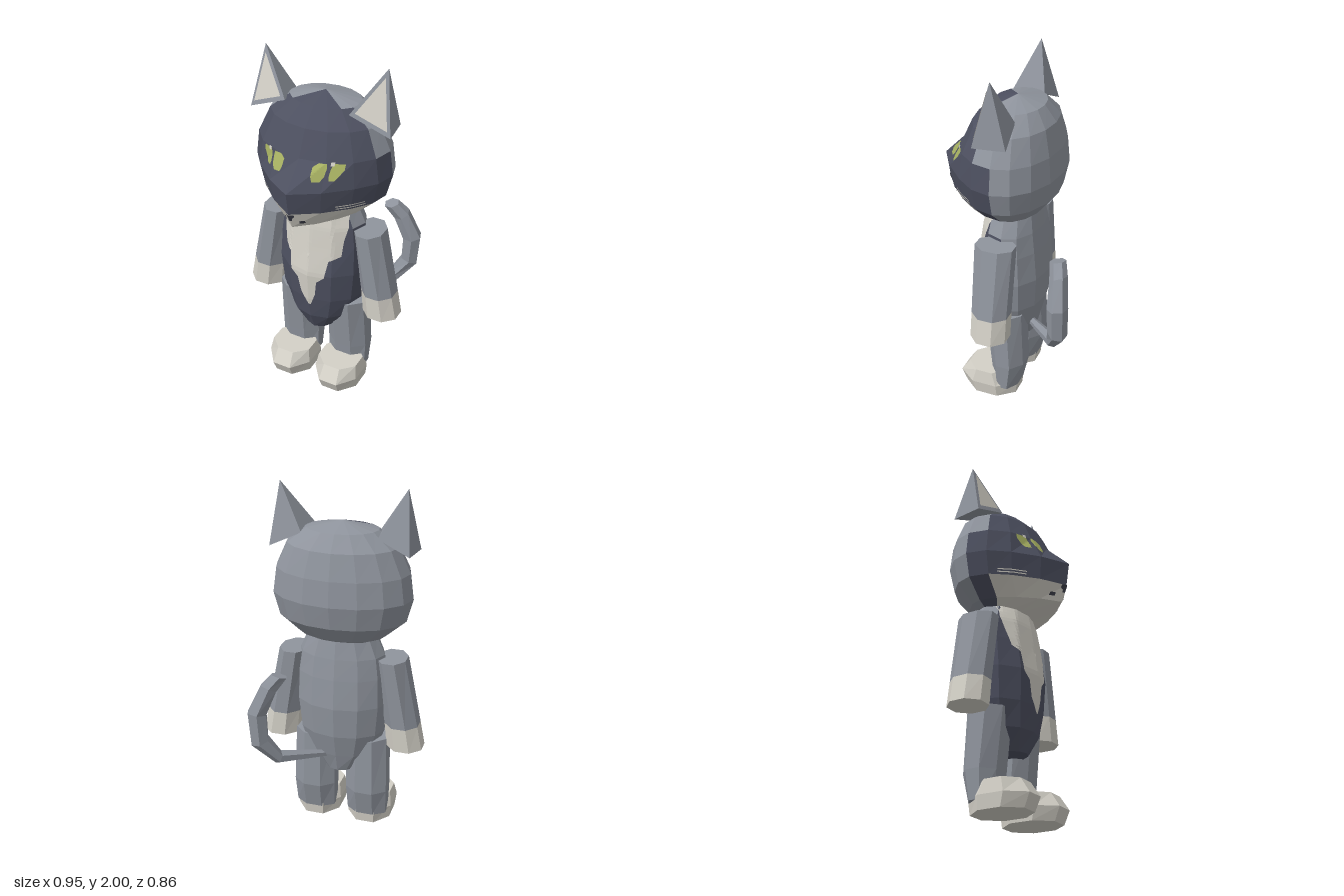
import * as THREE from 'three';

const flat = (name, color, extra = {}) => {
  const m = new THREE.MeshStandardMaterial({ color, flatShading: true, ...extra });
  m.name = name;
  return m;
};
const V = (x, y, z) => new THREE.Vector3(x, y, z);

// Skin a stack of rings, closed by fans at both ends; pick(row, column) chooses a material index.
function loft(rings, pick = () => 0, topPoint, bottomPoint) {
  const n = rings[0].length, last = rings.length - 1, buckets = [];
  const centre = r => r.reduce((s, p) => s.add(p), V(0, 0, 0)).divideScalar(n);
  const add = (i, j, ...pts) => {
    const b = (buckets[pick(i, j)] ??= []);
    pts.forEach(p => b.push(p.x, p.y, p.z));
  };
  const top = topPoint ?? centre(rings[last]), bottom = bottomPoint ?? centre(rings[0]);
  for (let j = 0; j < n; j++) {
    const k = (j + 1) % n;
    for (let i = 0; i < last; i++) {
      const a = rings[i][j], b = rings[i][k], c = rings[i + 1][k], d = rings[i + 1][j];
      add(i, j, a, b, c, a, c, d);
    }
    add(-1, j, rings[0][k], rings[0][j], bottom);
    add(last, j, rings[last][j], rings[last][k], top);
  }
  const g = new THREE.BufferGeometry(), all = [];
  buckets.forEach((b, m) => {
    g.addGroup(all.length / 3, b.length / 3, m);
    for (const v of b) all.push(v);
  });
  g.setAttribute('position', new THREE.Float32BufferAttribute(all, 3));
  g.computeVertexNormals();
  return g;
}

// Horizontal ring with separate front and back depths, counted from the front round to +x.
function ring(n, cx, y, rx, zFront, zBack, { phase = 0, cz = 0, front } = {}) {
  return Array.from({ length: n }, (_, j) => {
    const a = (j + phase) / n * Math.PI * 2, c = Math.cos(a);
    const f = front && c > -1e-6 ? front[Math.min(j, n - j)] : c;
    return V(cx + rx * Math.sin(a), y, cz + f * (c > 0 ? zFront : zBack));
  });
}

// Thin painted patch laid on the front of a mesh; rows are [y, xLeft, xRight].
function patch(target, rows, lift = 0.005, cols = 12, steps = 4) {
  const ray = new THREE.Raycaster(), pos = [], index = [];
  let count = 0;
  const addRow = (y, l, r) => {
    for (let c = 0; c <= cols; c++) {
      const x = l + (r - l) * c / cols;
      ray.set(V(x, y, 2), V(0, 0, -1));
      const hit = ray.intersectObject(target)[0];
      pos.push(x, y, (hit ? hit.point.z : 0) + lift);
    }
    count++;
  };
  rows.forEach((r, i) => {
    if (!i) return addRow(...r);
    for (let s = 1; s <= steps; s++) addRow(...r.map((v, q) => rows[i - 1][q] + (v - rows[i - 1][q]) * s / steps));
  });
  for (let r = 0; r < count - 1; r++) for (let c = 0; c < cols; c++) {
    const a = r * (cols + 1) + c, b = a + cols + 1;
    index.push(a, b, a + 1, b, b + 1, a + 1);
  }
  const g = new THREE.BufferGeometry();
  g.setAttribute('position', new THREE.Float32BufferAttribute(pos, 3));
  g.setIndex(index);
  g.computeVertexNormals();
  return g;
}

export function createModel() {
  const root = new THREE.Group();
  root.name = 'cat';
  const grey = flat('grey fur', 0x8f949d), dark = flat('dark fur', 0x4d5060);
  const cream = flat('cream fur', 0xd3d0c7, { side: THREE.DoubleSide });
  const green = flat('eye green', 0xa7b162, { side: THREE.DoubleSide });
  const ink = flat('nose dark', 0x3c3e49, { side: THREE.DoubleSide });
  const add = (name, geometry, material) => {
    const m = new THREE.Mesh(geometry, material);
    m.name = name;
    root.add(m);
    return m;
  };

  // Head: rounded behind, drawn out to a muzzle in front
  const snout = [1, 0.78, 0.51, 0.26, 0];
  const headRings = [
    [1.15, 0.17, 0.15, 0.1], [1.185, 0.25, 0.375, 0.16, snout], [1.28, 0.36, 0.41, 0.235, snout],
    [1.41, 0.395, 0.43, 0.262, snout], [1.55, 0.375, 0.29, 0.25], [1.69, 0.31, 0.225, 0.215], [1.775, 0.2, 0.14, 0.15],
  ].map(([y, rx, zf, zb, front]) => ring(16, 0, y, rx, zf, zb, { front }));
  const darkReach = [4, 4, 4, 4, 3, 3, 2];
  const head = add('head', loft(headRings, (i, j) => {
    const k = Math.min(j, 15 - j);
    if ((i === 0 || i === 1) && k < 3) return 2;
    return k < (darkReach[i] ?? 4) ? 1 : 0;
  }, V(0, 1.815, 0), V(0, 1.145, 0)), [grey, dark, cream]);

  // Eyes in two halves either side of a dark slit, with a glint
  for (const s of [-1, 1]) {
    const span = (y, a, b) => s > 0 ? [y, a, b] : [y, -b, -a];
    add('eyeInner', patch(head, [span(1.465, 0.1, 0.135), span(1.49, 0.09, 0.15), span(1.53, 0.085, 0.155), span(1.548, 0.11, 0.15)]), green);
    add('eyeOuter', patch(head, [span(1.468, 0.175, 0.2), span(1.49, 0.17, 0.215), span(1.52, 0.172, 0.235), span(1.548, 0.18, 0.235)]), green);
    add('mouthCorner', patch(head, [span(1.21, 0.04, 0.065), span(1.23, 0.04, 0.065)]), ink);
    // Whiskers
    for (const y of [1.295, 1.31]) add('whisker', patch(head, [span(y - 0.003, 0.2, 0.31), span(y + 0.003, 0.2, 0.31)]), cream);
    for (const y of [1.25, 1.267]) add('whiskerShade', patch(head, [span(y - 0.003, 0.22, 0.3), span(y + 0.003, 0.22, 0.3)]), dark);
  }
  for (const x of [-0.19, 0.178]) add('eyeGlint', patch(head, [[1.538, x - 0.009, x + 0.009], [1.556, x - 0.009, x + 0.009]], 0.008), cream);
  add('nose', patch(head, [[1.235, -0.012, 0.012], [1.25, -0.012, 0.012], [1.262, -0.025, 0.025], [1.278, -0.025, 0.025]]), ink);

  // Ears: four-sided spikes with a pale inner plate
  for (const s of [-1, 1]) {
    const order = list => s > 0 ? list : list.reverse();
    const base = [[0.185, 1.755, 0.105], [0.408, 1.665, 0.085], [0.385, 1.665, -0.09], [0.21, 1.745, -0.07]]
      .map(([x, y, z]) => V(s * x, y, z));
    const tip = V(s * 0.35, 2, 0.005);
    const face = order([base[0], base[1], tip]);
    const mid = V(0, 0, 0).add(face[0]).add(face[1]).add(face[2]).divideScalar(3);
    const normal = new THREE.Triangle(...face).getNormal(V(0, 0, 0));
    const inner = face.map(p => p.clone().lerp(mid, 0.23).addScaledVector(normal, 0.004));
    add('ear', loft([order([...base])], undefined, tip), grey);
    const g = new THREE.BufferGeometry().setFromPoints(inner);
    g.computeVertexNormals();
    add('innerEar', g, cream);
  }

  // Torso, dark down the front
  const torsoRings = [
    [0.35, 0.1, 0.145, 0.11], [0.46, 0.2, 0.19, 0.14], [0.6, 0.25, 0.21, 0.175], [0.78, 0.268, 0.222, 0.188],
    [0.95, 0.262, 0.195, 0.172], [1.07, 0.245, 0.178, 0.155], [1.18, 0.195, 0.155, 0.135],
  ].map(([y, rx, zf, zb]) => ring(12, 0, y, rx, zf, zb));
  const torso = add('torso', loft(torsoRings, (i, j) => {
    const k = Math.min(j, 11 - j);
    return k < (i > 4 ? 2 : 3) ? 1 : 0;
  }), [grey, dark]);
  add('chestBib', patch(torso, [
    [0.56, -0.003, 0.012], [0.64, -0.05, 0.04], [0.73, -0.07, 0.05], [0.77, -0.115, 0.095], [0.88, -0.125, 0.115],
    [0.91, -0.165, 0.175], [1.0, -0.185, 0.18], [1.08, -0.2, 0.195], [1.16, -0.185, 0.185],
  ], 0.005, 20), cream);

  // Limbs: octagonal, arms splayed outwards, paws cream
  const oct = (x, y, rx, rz, cz) => ring(8, x, y, rx / Math.cos(Math.PI / 8), rz / Math.cos(Math.PI / 8), rz / Math.cos(Math.PI / 8), { phase: 0.5, cz });
  for (const s of [-1, 1]) {
    const wrist = oct(s * 0.352, 0.66, 0.095, 0.103, 0.015);
    add('arm', loft([wrist, oct(s * 0.283, 1.055, 0.083, 0.108, 0.015)]), grey);
    add('hand', loft([oct(s * 0.373, 0.517, 0.102, 0.103, 0.015), wrist]), cream);
    add('leg', loft([
      oct(s * 0.158, 0.06, 0.115, 0.075, -0.005), oct(s * 0.158, 0.22, 0.122, 0.1, -0.015), oct(s * 0.153, 0.56, 0.118, 0.11, 0.01),
    ]), grey);
    add('foot', loft([
      oct(s * 0.157, 0, 0.128, 0.158, 0.088), oct(s * 0.157, 0.075, 0.136, 0.178, 0.1), oct(s * 0.157, 0.155, 0.122, 0.12, 0.105),
    ]), cream);
  }

  // Tail: six-sided, curling out behind the left side and upwards
  const path = [
    [0.06, 0.45, -0.1, 0.02], [0.28, 0.51, -0.32, 0.04], [0.365, 0.63, -0.375, 0.055],
    [0.375, 0.8, -0.375, 0.058], [0.31, 0.95, -0.355, 0.05], [0.255, 1.02, -0.33, 0.045],
  ];
  const points = path.map(p => V(p[0], p[1], p[2]));
  const across = V(0.75, 0, 0.66).normalize();
  add('tail', loft(points.map((p, i) => {
    const along = i === 5 ? V(-0.3, 1, 0.1) : points[i + 1].clone().sub(points[Math.max(i - 1, 0)]);
    const out = across.clone().cross(along).normalize();
    return Array.from({ length: 6 }, (_, j) => {
      const a = j * Math.PI / 3, r = path[i][3];
      return p.clone().addScaledVector(out, r * Math.cos(a)).addScaledVector(across, r * Math.sin(a));
    });
  })), grey);

  return root;
}
